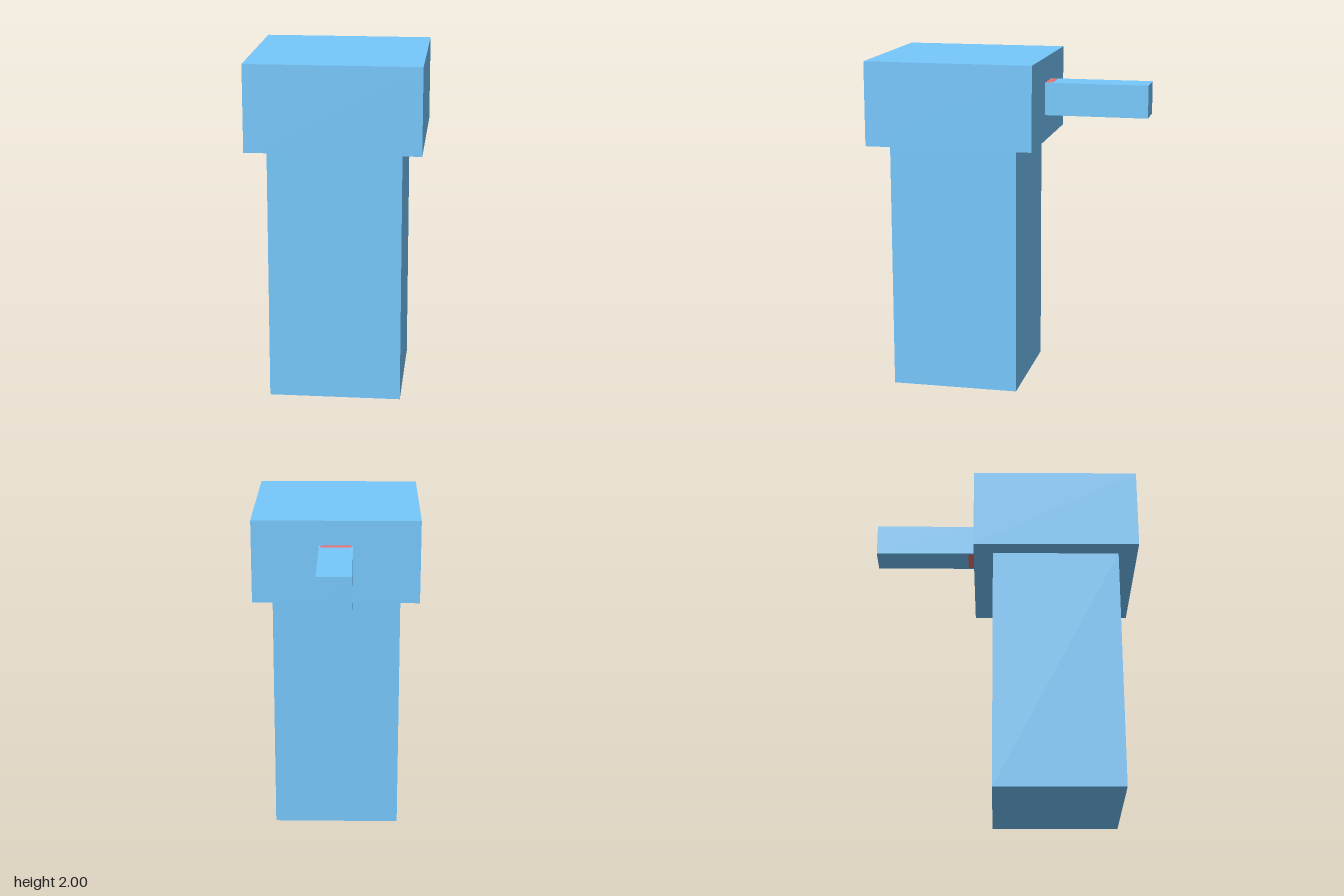
import * as THREE from 'three';

export function createModel() {
  const model = new THREE.Group();
  const blue = new THREE.MeshStandardMaterial({ color: 0x76c8fd, flatShading: true });
  const red = new THREE.MeshStandardMaterial({ color: 0xf07070, flatShading: true });

  // Box given by its minimum and maximum on each axis
  function addBox(name, material, [x0, x1], [y0, y1], [z0, z1]) {
    const mesh = new THREE.Mesh(new THREE.BoxGeometry(x1 - x0, y1 - y0, z1 - z0), material);
    mesh.position.set((x0 + x1) / 2, (y0 + y1) / 2, (z0 + z1) / 2);
    mesh.name = name;
    model.add(mesh);
  }

  // Tall square column
  addBox('column', blue, [-0.385, 0.383], [0, 1.5], [-0.073, 0.692]);
  // Wider block on top of the column
  addBox('head', blue, [-0.498, 0.498], [1.5, 2], [-0.19, 0.807]);
  // Square bar sticking out of the back of the head
  addBox('handle', blue, [-0.1, 0.1], [1.655, 1.85], [-0.807, -0.19]);
  // Narrow red inlay on the top and bottom of the handle where it meets the head
  addBox('handleInlay', red, [-0.09, 0.09], [1.654, 1.851], [-0.23, -0.18]);

  return model;
}
